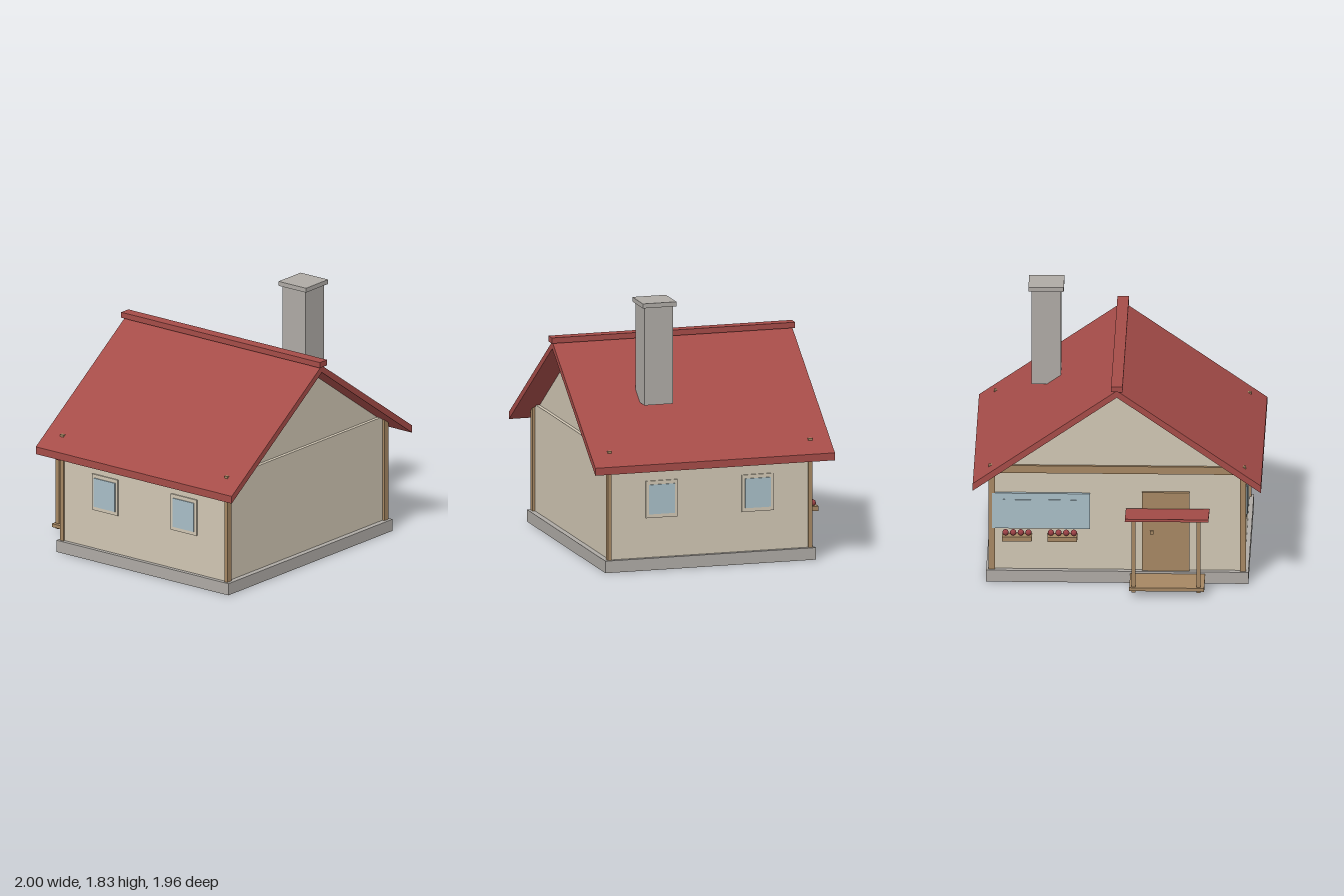
import * as THREE from 'three';

const mat = (name, color) => {
  const m = new THREE.MeshStandardMaterial({ color });
  m.name = name;
  return m;
};

export function createModel() {
  const house = new THREE.Group();
  house.name = 'house';

  const plaster = mat('plaster', 0xd0c6b3);
  const tile = mat('roofRed', 0xa54c48);
  const stone = mat('stone', 0xaeaaa5);
  const wood = mat('wood', 0xa68763);
  const glass = mat('glass', 0xa8bec7);
  const petal = mat('petalRed', 0x9a4044);

  const add = (name, geometry, material, parent = house) => {
    const mesh = new THREE.Mesh(geometry, material);
    mesh.name = name;
    parent.add(mesh);
    return mesh;
  };
  // Box given by its extents along each axis
  const box = (name, material, [x0, x1], [y0, y1], [z0, z1], parent) => {
    const mesh = add(name, new THREE.BoxGeometry(x1 - x0, y1 - y0, z1 - z0), material, parent);
    mesh.position.set((x0 + x1) / 2, (y0 + y1) / 2, (z0 + z1) / 2);
    return mesh;
  };
  // Polygon in x,y extruded from z0 to z1
  const prism = (name, material, points, z0, z1) => {
    const shape = new THREE.Shape(points.map(([x, y]) => new THREE.Vector2(x, y)));
    const geometry = new THREE.ExtrudeGeometry(shape, { depth: z1 - z0, bevelEnabled: false });
    geometry.translate(0, 0, z0);
    return add(name, geometry, material);
  };

  // Foundation and walls
  box('foundation', stone, [-0.91, 0.91], [0, 0.085], [-0.665, 0.865]);
  box('walls', plaster, [-0.88, 0.88], [0.085, 0.84], [-0.625, 0.825]);
  prism('gableWalls', plaster, [[-0.82, 0.84], [0.82, 0.84], [0, 1.418]], -0.625, 0.8);

  // Corner posts and the beam across the back gable
  for (const s of [-1, 1]) {
    const x = s > 0 ? [0.85, 0.893] : [-0.893, -0.85];
    box('frontCornerPost', wood, x, [0.085, 0.858], [0.815, 0.843]);
    box('backCornerPost', wood, x, [0.085, 0.858], [-0.645, -0.615]);
  }
  box('gableBeam', wood, [-0.87, 0.87], [0.8, 0.855], [-0.645, -0.62]);

  // Roof slabs with plumb-cut eaves, and ridge cap
  prism('roof', tile, [[0, 1.465], [-1, 0.768], [-1, 0.715], [0, 1.415], [1, 0.715], [1, 0.768]], -0.775, 0.967);
  box('ridgeCap', tile, [-0.04, 0.04], [1.46, 1.5], [-0.787, 0.982]);

  // Chimney
  box('chimneyStack', stone, [0.415, 0.62], [1.107, 1.8], [0.285, 0.49]);
  box('chimneyCap', stone, [0.395, 0.64], [1.8, 1.832], [0.265, 0.508]);

  // Two windows on each side wall
  for (const s of [-1, 1]) {
    for (const z of [0.45, -0.25]) {
      const span = (a, b) => (s > 0 ? [a, b] : [-b, -a]);
      box('sideWindowFrame', plaster, span(0.875, 0.89), [0.366, 0.628], [z - 0.115, z + 0.115]);
      box('sideWindowPane', glass, span(0.889, 0.897), [0.393, 0.602], [z - 0.094, z + 0.094]);
    }
  }

  // Back window band with two panes, each over a flower box
  box('backWindowBand', glass, [0.19, 0.87], [0.39, 0.65], [-0.647, -0.62]);
  for (const x of [0.695, 0.38]) {
    box('backWindowPane', glass, [x - 0.097, x + 0.097], [0.4, 0.605], [-0.655, -0.646]);
    box('flowerBox', wood, [x - 0.103, x + 0.103], [0.32, 0.353], [-0.72, -0.64]);
    for (let i = 0; i < 4; i++) {
      const bloom = add('flower', new THREE.SphereGeometry(0.022, 12, 8), petal);
      bloom.position.set(x + (i - 1.5) * 0.053, 0.375, -0.685);
    }
  }

  // Door with its handle
  box('door', wood, [-0.5, -0.17], [0.085, 0.665], [-0.65, -0.62]);
  box('doorHandle', wood, [-0.253, -0.227], [0.36, 0.385], [-0.665, -0.648]);

  // Porch: deck, two posts, and a canopy rising outward
  const porch = new THREE.Group();
  porch.name = 'porch';
  house.add(porch);
  box('porchDeck', wood, [-0.61, -0.09], [0.045, 0.07], [-0.945, -0.645], porch);
  for (const x of [-0.57, -0.12]) {
    box('porchPost', wood, [x - 0.014, x + 0.014], [0.03, 0.565], [-0.932, -0.905], porch);
  }
  const canopy = box('porchCanopy', tile, [-0.64, -0.06], [0.549, 0.567], [-0.977, -0.645], porch);
  canopy.rotation.x = Math.atan2(0.045, 0.33);

  return house;
}
